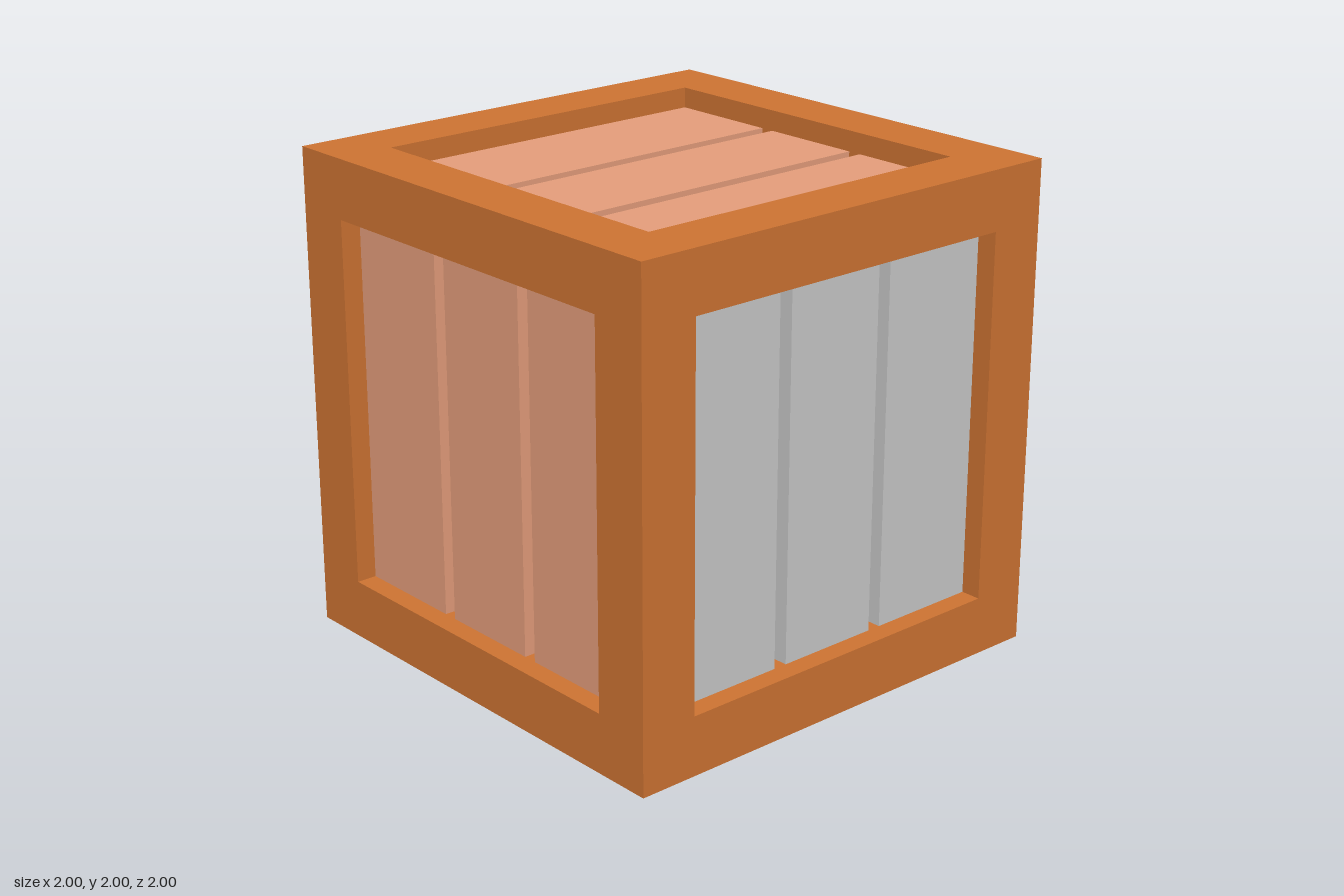
import * as THREE from 'three';

export function createModel() {
  const model = new THREE.Group();
  model.name = 'crate';

  const wood = new THREE.MeshStandardMaterial({ color: 0xd07533 });
  const paleWood = new THREE.MeshStandardMaterial({ color: 0xe8a07d });
  const grey = new THREE.MeshStandardMaterial({ color: 0xcccccc });

  const outer = 1;        // half size of the crate
  const opening = 0.757;  // half size of each panel opening
  const plankFace = 0.915; // distance of plank fronts from the centre
  const coreFace = 0.82;  // distance of the backing behind the planks
  const gap = 0.058;
  const beam = outer - opening;
  const mid = (outer + opening) / 2;

  function addBox(parent, name, size, position, material) {
    const mesh = new THREE.Mesh(new THREE.BoxGeometry(...size), material);
    mesh.name = name;
    mesh.position.set(...position);
    parent.add(mesh);
  }

  // Frame: four posts with rails butted between them
  const frame = new THREE.Group();
  frame.name = 'frame';
  for (const a of [-mid, mid]) {
    for (const b of [-mid, mid]) {
      addBox(frame, 'cornerPost', [beam, 2 * outer, beam], [a, 0, b], wood);
      addBox(frame, 'crossRail', [2 * opening, beam, beam], [0, a, b], wood);
      addBox(frame, 'sideRail', [beam, beam, 2 * opening], [a, b, 0], wood);
    }
  }
  model.add(frame);

  // Backing seen in the gaps between planks
  addBox(model, 'backing', [2 * coreFace, 2 * coreFace, 2 * coreFace], [0, 0, 0], wood);

  // Panel of three planks, built facing +z and then turned to its side
  function addPanel(name, rotX, rotY, material) {
    const panel = new THREE.Group();
    panel.name = name;
    const edges = [-opening, -0.25, 0.25, opening];
    for (let i = 0; i < 3; i++) {
      const left = edges[i] + (i > 0 ? gap / 2 : 0);
      const right = edges[i + 1] - (i < 2 ? gap / 2 : 0);
      addBox(panel, 'plank', [right - left, 2 * opening, plankFace - coreFace],
        [(left + right) / 2, 0, (plankFace + coreFace) / 2], material);
    }
    panel.rotation.set(rotX, rotY, 0);
    model.add(panel);
  }
  const q = Math.PI / 2;
  addPanel('frontPanel', 0, 0, paleWood);
  addPanel('backPanel', 0, Math.PI, paleWood);
  addPanel('topPanel', -q, 0, paleWood);
  addPanel('bottomPanel', q, 0, paleWood);
  addPanel('leftPanel', 0, q, grey);
  addPanel('rightPanel', 0, -q, grey);

  // Stand the crate on the ground
  for (const part of model.children) part.position.y += outer;
  return model;
}
